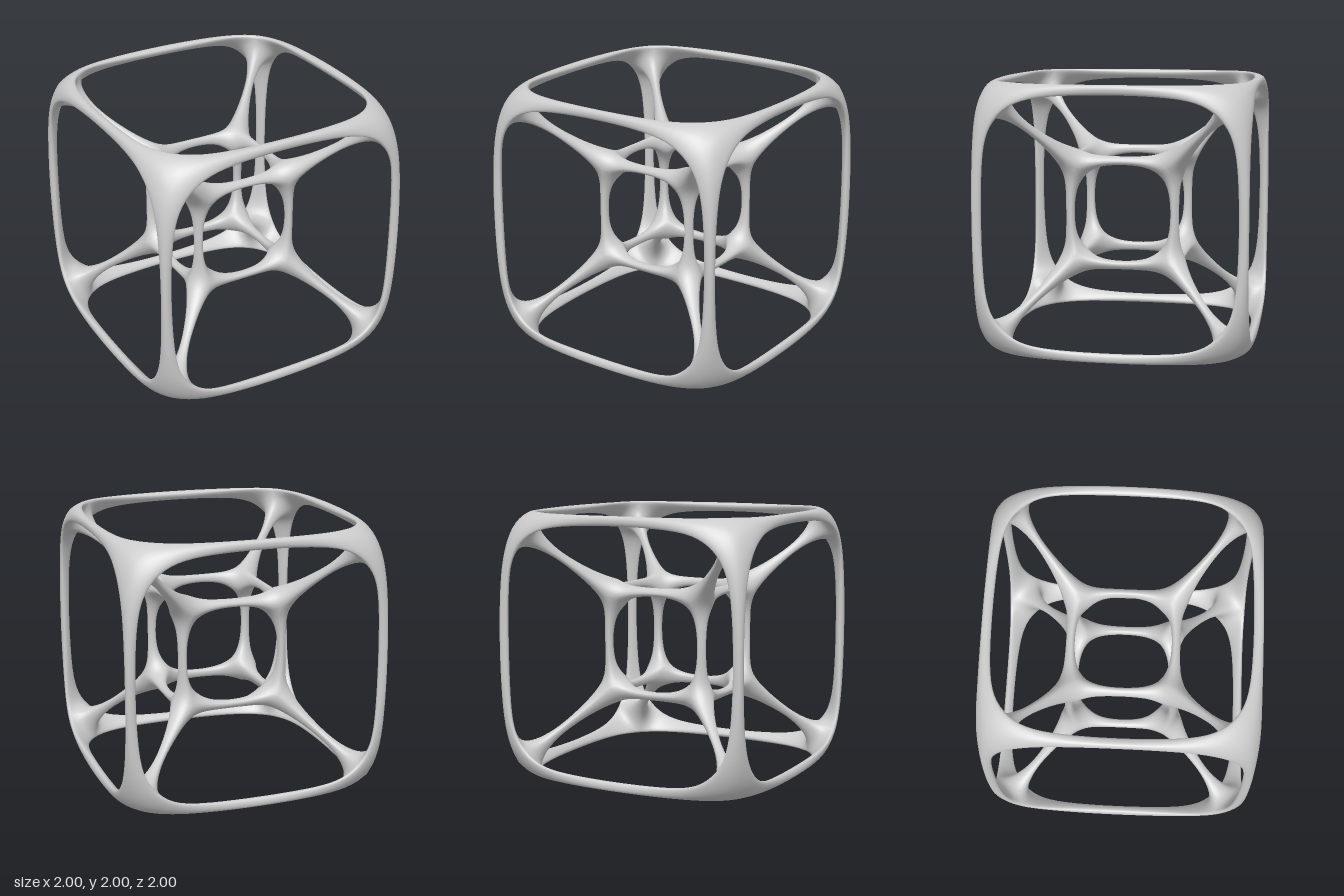
import * as THREE from 'three';

// Control points of the cage. Each joint has one point per surrounding cell:
// "core" is the point on the space diagonal, the others are one per axis cell,
// with "own" along the cell's axis and "other" along the remaining two.
const LEVELS = {
  outerFrame: {
    joint: { core: 0.95, own: 1.06, other: 0.768 },
    ring: { core: 1.016, own: 0.984, other: 0.895 },
    reach: 0.45,
  },
  innerFrame: {
    joint: { core: 0.26, own: 0.52, other: 0.325 },
    ring: { core: 0.351, own: 0.458, other: 0.377 },
    reach: 0.15,
  },
};
const DIAGONAL_RINGS = [0.73, 0.59].map((s) => ({ own: s + 0.052, other: s - 0.026 }));
const CORE = 3;

function cagePoint(signs, cell, dims, axis = -1, along = 0) {
  const c = [0, 1, 2].map((i) => {
    if (i === axis) return signs[i] * along;
    return signs[i] * (cell === CORE ? dims.core : i === cell ? dims.own : dims.other);
  });
  return new THREE.Vector3(...c);
}

// Three-sided strut cages that share their end points at the joints
function buildCage() {
  const verts = [], quads = [], lookup = new Map();
  const indexOf = (p) => {
    const key = p.toArray().map((n) => Math.round(n * 1e4)).join();
    if (!lookup.has(key)) {
      lookup.set(key, verts.length);
      verts.push(p);
    }
    return lookup.get(key);
  };
  const addStrut = (part, rings) => {
    const [a, b, c] = rings[1];
    const turn = b.clone().sub(a).cross(c.clone().sub(a));
    const ids = rings.map((r) => r.map(indexOf));
    if (turn.dot(rings[2][0].clone().sub(a)) < 0) ids.forEach((r) => r.reverse());
    for (let i = 0; i < 3; i++) {
      for (let k = 0; k < 3; k++) {
        const n = (k + 1) % 3;
        quads.push({ part, v: [ids[i][k], ids[i][n], ids[i + 1][n], ids[i + 1][k]] });
      }
    }
  };

  const corners = [];
  for (const x of [1, -1]) for (const y of [1, -1]) for (const z of [1, -1]) corners.push([x, y, z]);

  for (const s of corners) {
    // Cube edges, each started from its positive end
    for (const [part, { joint, ring, reach }] of Object.entries(LEVELS)) {
      for (let axis = 0; axis < 3; axis++) {
        if (s[axis] < 0) continue;
        const far = s.map((v, i) => (i === axis ? -v : v));
        const cells = [CORE, (axis + 1) % 3, (axis + 2) % 3];
        addStrut(part, [
          cells.map((c) => cagePoint(s, c, joint)),
          cells.map((c) => cagePoint(s, c, ring, axis, reach)),
          cells.map((c) => cagePoint(far, c, ring, axis, reach)),
          cells.map((c) => cagePoint(far, c, joint)),
        ]);
      }
    }
    // Diagonal from the outer corner to the inner corner
    const stations = [LEVELS.outerFrame.joint, ...DIAGONAL_RINGS, LEVELS.innerFrame.joint];
    addStrut('diagonalStruts', stations.map((d) => [0, 1, 2].map((c) => cagePoint(s, c, d))));
  }
  return { verts, quads };
}

// One Catmull-Clark step on a closed quad mesh
function subdivide({ verts, quads }) {
  const count = verts.length;
  const out = verts.map(() => new THREE.Vector3());
  const valence = new Array(count).fill(0);
  const faceSum = verts.map(() => new THREE.Vector3());
  const midSum = verts.map(() => new THREE.Vector3());
  const edges = new Map();
  const next = [];

  for (const { part, v } of quads) {
    const centre = new THREE.Vector3();
    v.forEach((i) => centre.addScaledVector(verts[i], 0.25));
    const faceId = out.push(centre) - 1;
    const edgeIds = v.map((a, k) => {
      const b = v[(k + 1) % 4];
      const key = Math.min(a, b) * count + Math.max(a, b);
      if (!edges.has(key)) {
        const mid = verts[a].clone().add(verts[b]).multiplyScalar(0.5);
        edges.set(key, out.push(mid.clone().multiplyScalar(0.5)) - 1);
        for (const i of [a, b]) {
          midSum[i].add(mid);
          valence[i]++;
        }
      }
      out[edges.get(key)].addScaledVector(centre, 0.25);
      return edges.get(key);
    });
    v.forEach((i, k) => {
      faceSum[i].add(centre);
      next.push({ part, v: [i, edgeIds[k], faceId, edgeIds[(k + 3) % 4]] });
    });
  }
  for (let i = 0; i < count; i++) {
    const n = valence[i];
    out[i].addScaledVector(faceSum[i], 1 / (n * n))
      .addScaledVector(midSum[i], 2 / (n * n))
      .addScaledVector(verts[i], (n - 3) / n);
  }
  return { verts: out, quads: next };
}

export function createModel() {
  let mesh = buildCage();
  for (let i = 0; i < 3; i++) mesh = subdivide(mesh);

  // Stand the frame on the ground
  for (const p of mesh.verts) p.y += 1;

  const triangles = ({ v: [a, b, c, d] }) => [a, b, c, a, c, d];
  const whole = new THREE.BufferGeometry().setFromPoints(mesh.verts);
  whole.setIndex(mesh.quads.flatMap(triangles));
  whole.computeVertexNormals();

  // Split into named parts that keep the shared smooth normals
  const group = new THREE.Group();
  group.name = 'nestedCubeFrame';
  const material = new THREE.MeshStandardMaterial({ color: 0xcccccc });
  for (const part of ['outerFrame', 'innerFrame', 'diagonalStruts']) {
    const geometry = new THREE.BufferGeometry();
    geometry.setAttribute('position', whole.getAttribute('position').clone());
    geometry.setAttribute('normal', whole.getAttribute('normal').clone());
    geometry.setIndex(mesh.quads.filter((q) => q.part === part).flatMap(triangles));
    const piece = new THREE.Mesh(geometry, material);
    piece.name = part;
    group.add(piece);
  }
  return group;
}
